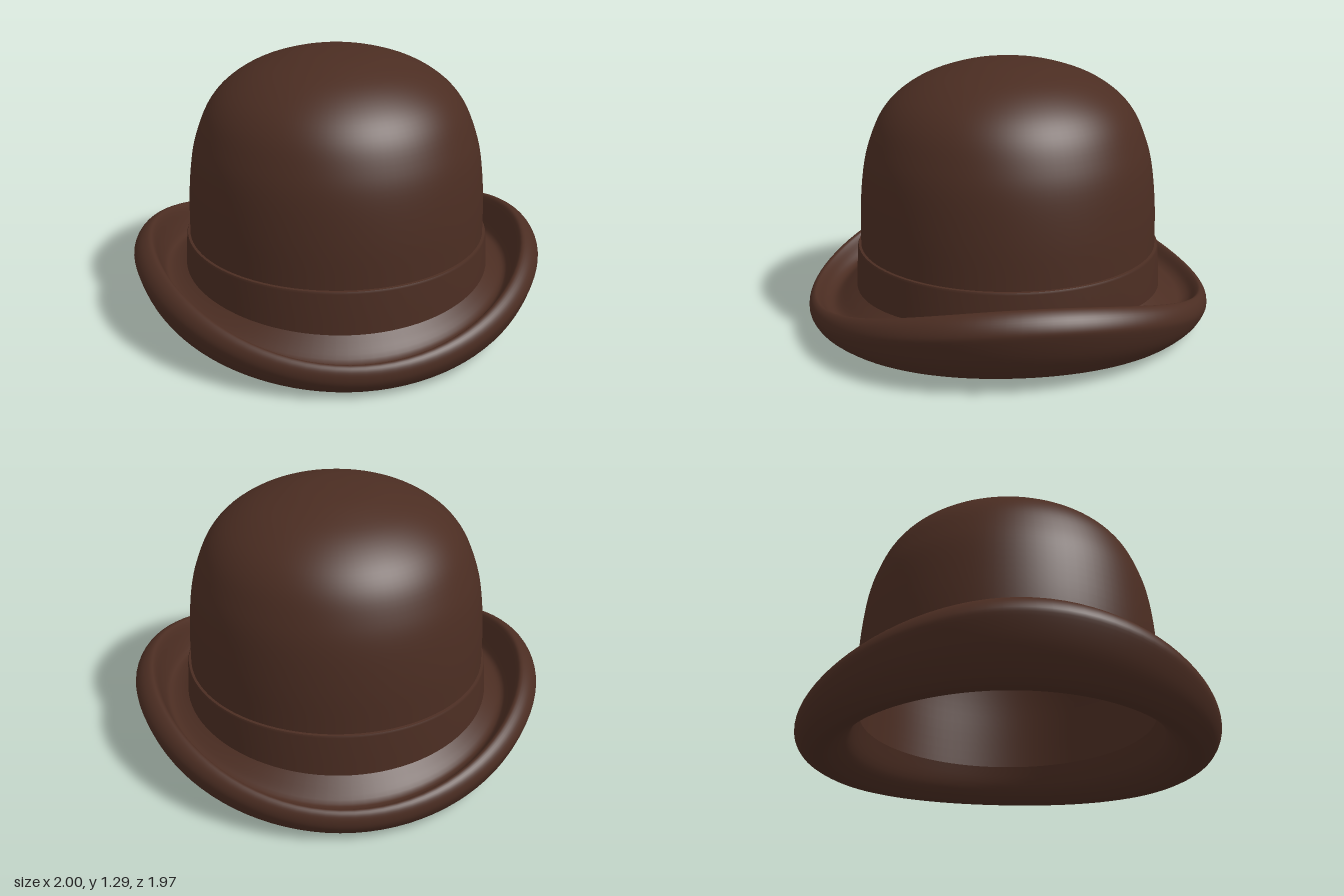
import * as THREE from 'three';
import { mergeVertices } from 'three/addons/utils/BufferGeometryUtils.js';

const SEGMENTS = 96;

// Smooth a short list of [radius, height] pairs into a profile
function profile(pairs, count) {
  const curve = new THREE.SplineCurve(pairs.map(([r, y]) => new THREE.Vector2(r, y)));
  return curve.getPoints(count).map((p) => new THREE.Vector2(Math.max(0, p.x), p.y));
}

// Brim sections from the inner wall, under and around the roll, to the band:
// [radius, height] at front/back, then [radius, height] at the sides
const BRIM = [
  [0.70, 0.22, 0.70, 0.22],
  [0.74, 0.10, 0.73, 0.12],
  [0.80, 0.03, 0.78, 0.065],
  [0.86, 0.00, 0.83, 0.048],
  [0.90, 0.005, 0.89, 0.085],
  [0.95, 0.035, 0.955, 0.18],
  [0.98, 0.08, 0.994, 0.29],
  [0.985, 0.12, 0.995, 0.335],
  [0.975, 0.152, 0.965, 0.38],
  [0.955, 0.167, 0.92, 0.402],
  [0.935, 0.155, 0.895, 0.375],
  [0.90, 0.12, 0.87, 0.29],
  [0.85, 0.115, 0.84, 0.225],
  [0.78, 0.17, 0.78, 0.225],
  [0.72, 0.22, 0.72, 0.25],
];

// Sweep the section around the hat, blending toward the raised sides
function brimGeometry() {
  const steps = (BRIM.length - 1) * 4;
  const front = profile(BRIM.map((p) => [p[0], p[1]]), steps);
  const side = profile(BRIM.map((p) => [p[2], p[3]]), steps);
  const geometry = new THREE.LatheGeometry(front, SEGMENTS);
  const position = geometry.attributes.position;
  for (let i = 0; i < position.count; i++) {
    const j = i % (steps + 1);
    const angle = (Math.floor(i / (steps + 1)) / SEGMENTS) * Math.PI * 2;
    const k = Math.sin(angle) ** 2;
    const r = THREE.MathUtils.lerp(front[j].x, side[j].x, k);
    const y = THREE.MathUtils.lerp(front[j].y, side[j].y, k);
    position.setXYZ(i, r * Math.sin(angle), Math.max(0, y), r * Math.cos(angle));
  }
  geometry.deleteAttribute('uv');
  geometry.deleteAttribute('normal');
  const merged = mergeVertices(geometry);
  merged.computeVertexNormals();
  return merged;
}

export function createModel() {
  const hat = new THREE.Group();
  hat.name = 'bowlerHat';
  const felt = new THREE.MeshStandardMaterial({ color: 0x4b2d22 });
  felt.name = 'brown felt';

  const add = (name, geometry) => {
    const mesh = new THREE.Mesh(geometry, felt);
    mesh.name = name;
    hat.add(mesh);
  };

  // Domed crown
  const dome = [
    [0.725, 0.2], [0.722, 0.4], [0.716, 0.6], [0.695, 0.79], [0.66, 0.92],
    [0.605, 1.04], [0.52, 1.135], [0.39, 1.215], [0.22, 1.27], [0.08, 1.288], [0, 1.29],
  ];
  add('crown', new THREE.LatheGeometry(profile(dome, 48), SEGMENTS));

  // Inside of the crown, facing inward
  const lining = [
    [0, 1.26], [0.08, 1.258], [0.21, 1.24], [0.37, 1.187], [0.5, 1.11], [0.58, 1.02],
    [0.632, 0.91], [0.668, 0.78], [0.688, 0.6], [0.695, 0.4], [0.70, 0.22],
  ];
  add('lining', new THREE.LatheGeometry(profile(lining, 40), SEGMENTS));

  // Ribbon band, with a sharp ledge on top
  const bandSide = [[0.752, 0.16], [0.746, 0.26], [0.738, 0.39], [0.734, 0.4]];
  const bandTop = [[0.734, 0.4], [0.715, 0.402]];
  const bandPoints = (pairs) => pairs.map(([r, y]) => new THREE.Vector2(r, y));
  add('band', new THREE.LatheGeometry(bandPoints(bandSide), SEGMENTS));
  add('bandTopEdge', new THREE.LatheGeometry(bandPoints(bandTop), SEGMENTS));

  // Curled brim
  add('brim', brimGeometry());

  return hat;
}
